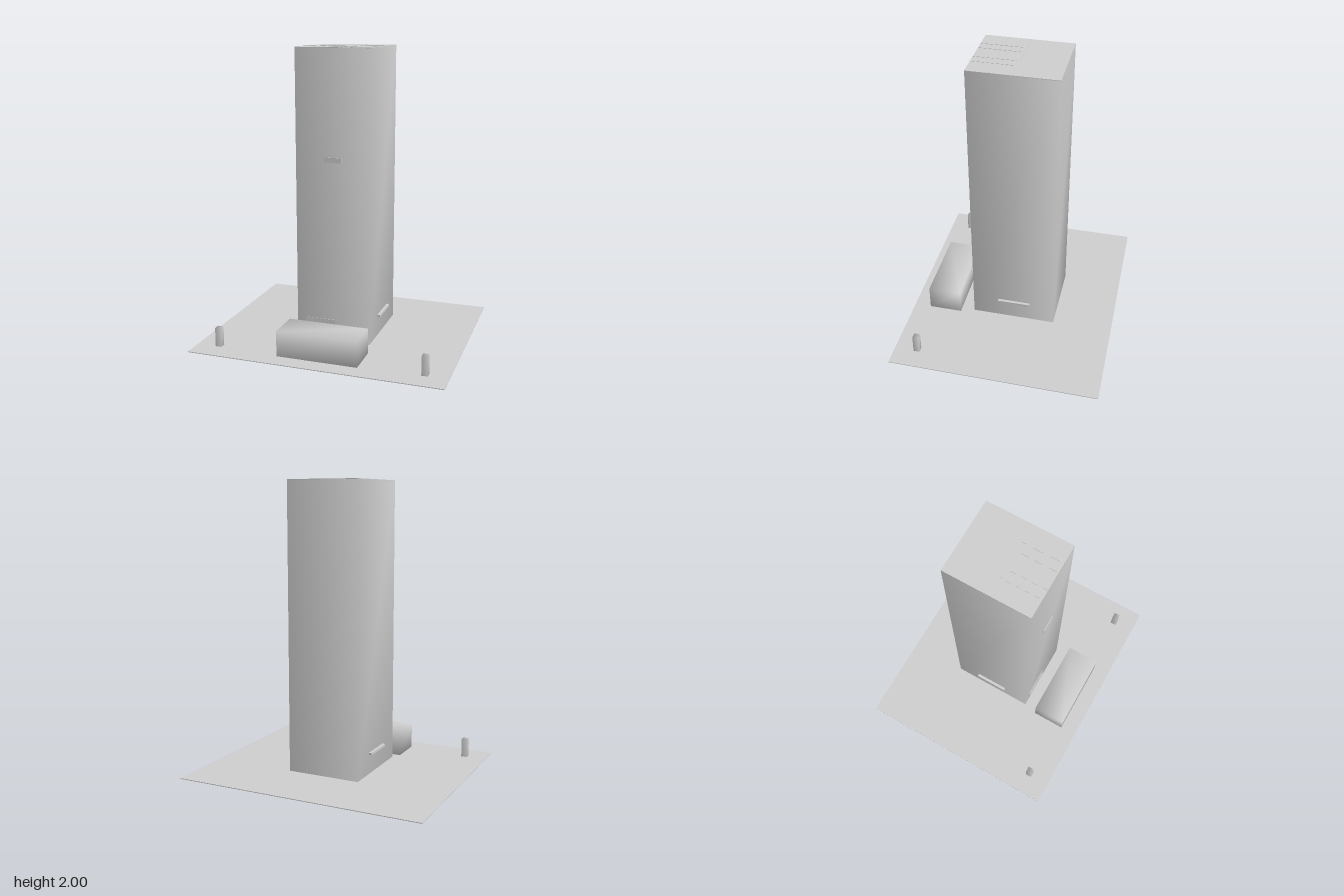
import * as THREE from 'three';
import { mergeVertices } from 'three/addons/utils/BufferGeometryUtils.js';

export function createModel() {
  const model = new THREE.Group();
  model.name = 'towerBlock';
  const concrete = new THREE.MeshStandardMaterial({ color: 0xcccccc });
  concrete.name = 'concrete grey';

  // Box given by its limits on each axis; soft boxes share normals at the corners
  function box(name, [x0, x1], [y0, y1], [z0, z1], soft = false) {
    let geometry = new THREE.BoxGeometry(x1 - x0, y1 - y0, z1 - z0);
    if (soft) {
      geometry.deleteAttribute('normal');
      geometry.deleteAttribute('uv');
      geometry = mergeVertices(geometry);
      geometry.computeVertexNormals();
    }
    const mesh = new THREE.Mesh(geometry, concrete);
    mesh.name = name;
    mesh.position.set((x0 + x1) / 2, (y0 + y1) / 2, (z0 + z1) / 2);
    model.add(mesh);
    return mesh;
  }

  // Site plate
  box('groundPlate', [-0.87, 0.867], [0, 0.005], [-0.735, 0.73]);

  // Tower shaft with a flat roof
  box('towerShaft', [-0.26, 0.256], [0.02, 1.994], [-0.316, 0.277], true);
  box('roof', [-0.26, 0.256], [1.994, 1.998], [-0.316, 0.277]);

  // Fine roof joints
  for (const x of [-0.13, -0.065, 0.06, 0.126])
    box('roofJoint', [x - 0.002, x + 0.002], [1.998, 2], [0, 0.277]);
  for (const z of [-0.024, 0.126])
    box('roofJoint', [-0.26, 0.256], [1.998, 2], [z - 0.002, z + 0.002]);

  // Sign plate and entrance panel on the front
  box('signPlate', [-0.062, 0.058], [1.255, 1.288], [0.277, 0.281]);
  box('entrancePanel', [-0.2, 0.01], [0.04, 0.17], [0.277, 0.28]);

  // Side canopies
  box('rightCanopy', [-0.28, -0.26], [0.155, 0.17], [-0.14, 0.093]);
  box('leftCanopy', [0.256, 0.276], [0.155, 0.17], [-0.14, 0.093]);

  // Low block in front of the entrance
  box('frontBlock', [-0.28, 0.276], [0.004, 0.18], [0.377, 0.612], true);

  // Gate posts
  for (const x of [-0.715, 0.711])
    box('gatePost', [x - 0.021, x + 0.021], [0.004, 0.136], [0.549, 0.592], true);

  return model;
}
